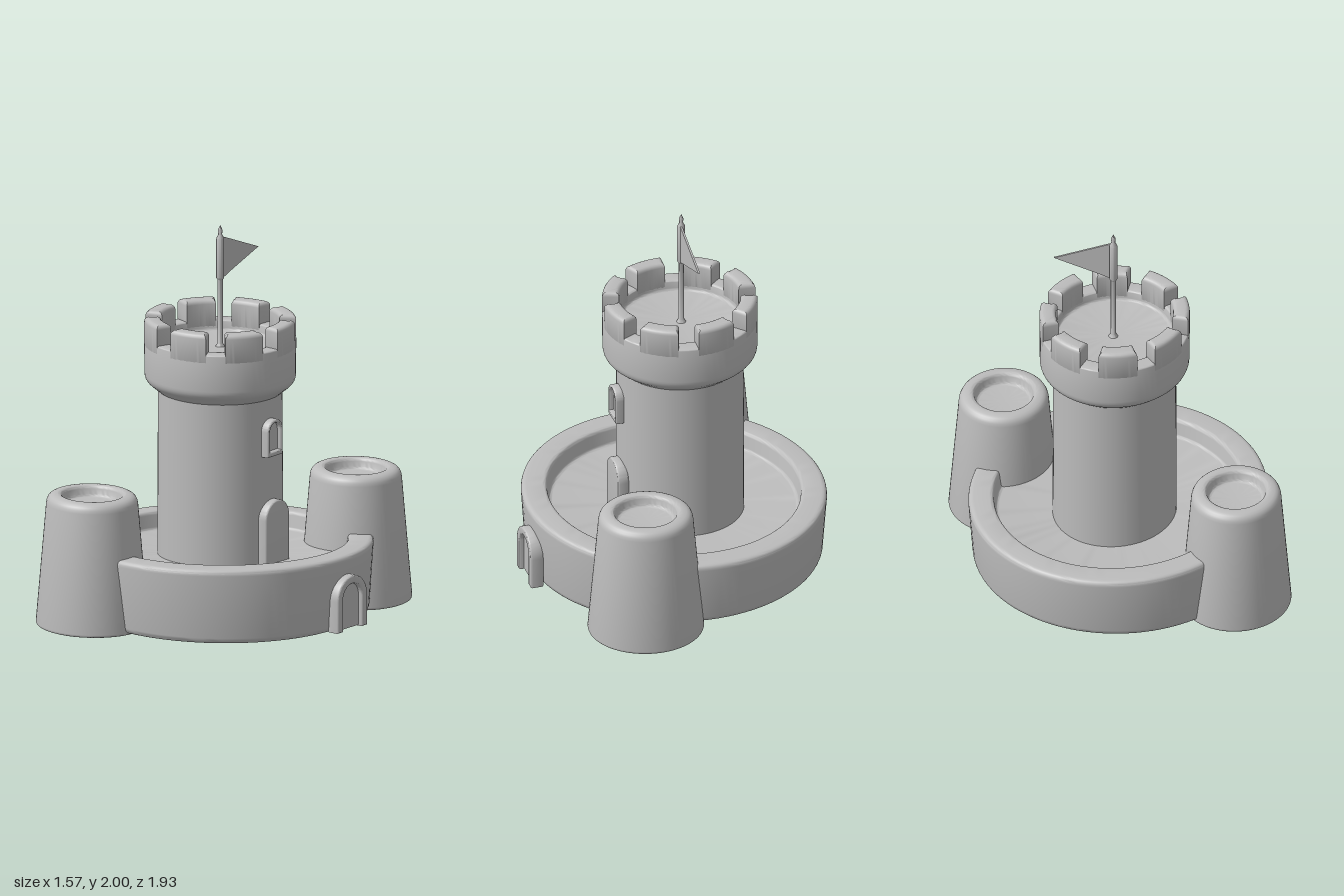
import * as THREE from 'three';
import { toCreasedNormals } from 'three/addons/utils/BufferGeometryUtils.js';

const stone = new THREE.MeshStandardMaterial({ color: 0xbcbcbc });
stone.name = 'stone';

function add(parent, name, geometry, x = 0, y = 0, z = 0) {
  const mesh = new THREE.Mesh(geometry, stone);
  mesh.name = name;
  mesh.position.set(x, y, z);
  parent.add(mesh);
  return mesh;
}

// Lathe from [radius, height, cornerRounding] points, listed from the bottom centre outward and up
function turned(profile, segments = 72) {
  const pts = profile.map(p => new THREE.Vector2(p[0], p[1]));
  const out = [];
  pts.forEach((p, i) => {
    const r = profile[i][2];
    if (!r) { out.push(p); return; }
    const toward = q => p.clone().add(q.clone().sub(p).setLength(r));
    out.push(...new THREE.QuadraticBezierCurve(toward(pts[i - 1]), p, toward(pts[i + 1])).getPoints(5));
  });
  return toCreasedNormals(new THREE.LatheGeometry(out, segments), 0.65);
}

// Round-topped outline standing on y = base
function archPath(target, w, base, top) {
  const r = w / 2;
  target.moveTo(-r, base);
  target.lineTo(r, base);
  target.lineTo(r, top - r);
  target.absarc(0, top - r, r, 0, Math.PI, false);
  target.lineTo(-r, base);
  return target;
}

// Framed arched opening; sill = 0 gives a frame open at the foot
function archway(name, w, h, border, depth, sill) {
  const group = new THREE.Group();
  group.name = name;
  let outline;
  if (sill) {
    outline = archPath(new THREE.Shape(), w, 0, h);
    outline.holes.push(archPath(new THREE.Path(), w - 2 * border, sill, h - border));
  } else {
    const r = w / 2, ri = r - border;
    outline = new THREE.Shape();
    outline.moveTo(ri, 0);
    outline.lineTo(r, 0);
    outline.lineTo(r, h - r);
    outline.absarc(0, h - r, r, 0, Math.PI, false);
    outline.lineTo(-r, 0);
    outline.lineTo(-ri, 0);
    outline.lineTo(-ri, h - r);
    outline.absarc(0, h - r, ri, Math.PI, 0, true);
  }
  const b = 0.008;
  const frame = new THREE.ExtrudeGeometry(outline, {
    depth: depth - b, bevelSize: b, bevelOffset: -b, bevelThickness: b, bevelSegments: 3, curveSegments: 16,
  });
  add(group, name + 'Frame', toCreasedNormals(frame, 0.6));
  const panel = archPath(new THREE.Shape(), w - border, 0.005, h - border / 2);
  add(group, name + 'Panel', new THREE.ExtrudeGeometry(panel, { depth: depth - 0.025, bevelEnabled: false, curveSegments: 16 }));
  return group;
}

// Places an archway on a round wall, turned to face outward
function mount(parent, item, x, y, z, angle) {
  item.position.set(x, y, z);
  item.rotation.y = Math.PI / 2 + angle;
  parent.add(item);
}

export function createModel() {
  const castle = new THREE.Group();
  castle.name = 'castle';

  // Round outer wall with a sunken courtyard and a slightly sloping top
  const wallGeo = turned([[0, 0.03], [0.745, 0.03, 0.03], [0.77, 0.39, 0.03], [0.64, 0.395, 0.02], [0.625, 0.3, 0.015], [0, 0.3]], 96);
  const pos = wallGeo.attributes.position;
  for (let i = 0; i < pos.count; i++) {
    if (pos.getY(i) > 0.2) pos.setY(i, pos.getY(i) + 0.03 * pos.getX(i) + 0.02 * pos.getZ(i));
  }
  add(castle, 'outerWall', wallGeo, -0.018, 0, -0.005).scale.z = 0.975;

  // Two tapered side towers with a shallow well in the top
  const sideTower = turned([[0, 0], [0.285, 0, 0.015], [0.228, 0.68, 0.045], [0.155, 0.685, 0.02], [0.142, 0.625, 0.015], [0, 0.625]]);
  add(castle, 'frontTower', sideTower, -0.212, 0.02, 0.69).scale.set(1.03, 0.99, 0.97);
  add(castle, 'backTower', sideTower, 0.207, 0.005, -0.69).scale.set(1.03, 0.99, 0.97);

  // Main tower shaft and flared crown
  const keep = new THREE.Group();
  keep.name = 'keep';
  keep.position.set(-0.047, 0, -0.013);
  keep.scale.set(1.015, 1, 0.975);
  castle.add(keep);
  add(keep, 'shaft', new THREE.CylinderGeometry(0.315, 0.318, 0.95, 72, 1, true), 0, 0.725, 0);
  add(keep, 'crown', turned([[0, 1.15], [0.315, 1.15], [0.383, 1.205, 0.03], [0.385, 1.425, 0.012], [0.303, 1.425, 0.012], [0.298, 1.37, 0.015], [0, 1.37]]));

  // Eight battlements, with a gap facing front, back and sides
  const half = 0.262, b = 0.022;
  const sector = new THREE.Shape();
  sector.absarc(0, 0, 0.385, -half, half, false);
  sector.absarc(0, 0, 0.3, half, -half, true);
  sector.closePath();
  const merlon = new THREE.ExtrudeGeometry(sector, {
    depth: 0.12, bevelSize: b, bevelOffset: -b, bevelThickness: b, bevelSegments: 4, curveSegments: 10,
  });
  merlon.rotateX(-Math.PI / 2);
  const merlonGeo = toCreasedNormals(merlon, 0.6);
  for (let i = 0; i < 8; i++) {
    add(keep, 'battlement', merlonGeo, 0, 1.388, 0).rotation.y = (i + 0.5) * Math.PI / 4;
  }

  // Flagpole with a sleeve and pointed tip
  add(castle, 'flagpole', turned([[0, 1.36], [0.03, 1.36], [0.014, 1.385], [0.013, 1.715], [0.02, 1.725],
    [0.02, 1.93], [0.01, 1.95], [0.011, 1.975], [0, 2]], 20), -0.053, 0, -0.018);

  // Pennant
  const pennant = new THREE.Shape([[0, 1.72], [0.08, 1.75], [0.3, 1.825], [0.16, 1.88], [0.02, 1.935], [0, 1.935]]
    .map(p => new THREE.Vector2(...p)));
  const flag = add(castle, 'flag', new THREE.ExtrudeGeometry(pennant, { depth: 0.01, bevelEnabled: false }), -0.053, 0, -0.018);
  flag.rotation.y = 1.775;

  // Gate in the outer wall, door and window on the keep
  mount(castle, archway('gate', 0.235, 0.28, 0.042, 0.06, 0), 0.705, 0.035, -0.185, 0.19);
  const door = archway('door', 0.19, 0.34, 0.024, 0.05, 0.012);
  add(door, 'doorKnob', new THREE.SphereGeometry(0.014, 16, 12), 0.048, 0.125, 0.035);
  mount(castle, door, 0.255, 0.29, -0.085, 0.2);
  mount(castle, archway('window', 0.122, 0.19, 0.018, 0.05, 0.025), 0.256, 0.862, -0.07, 0.2);

  return castle;
}
